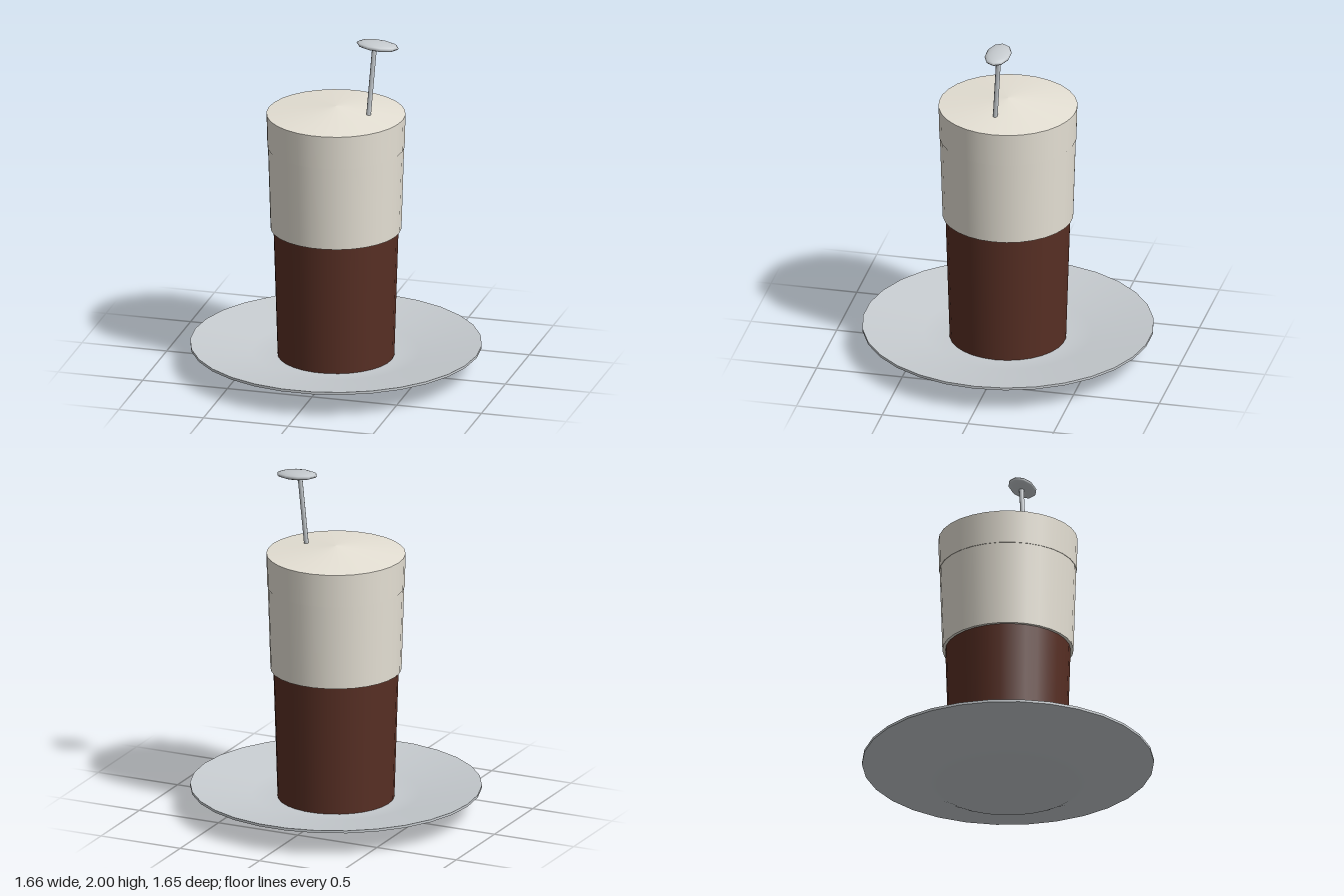
import * as THREE from 'three';

const SIDES = 30;

export function createModel() {
  const model = new THREE.Group();
  model.name = 'cupOnSaucer';

  const mat = (name, color) => {
    const m = new THREE.MeshStandardMaterial({ color });
    m.name = name;
    return m;
  };
  const cream = mat('cream', 0xe6e1d5);
  const brown = mat('coffeeBrown', 0x582f24);
  const silver = mat('silverGrey', 0xc6cbcf);

  const add = (parent, name, geometry, material) => {
    const mesh = new THREE.Mesh(geometry, material);
    mesh.name = name;
    parent.add(mesh);
    return mesh;
  };

  // Turned surface; points run so that the outside is on the right-hand side going up
  const turned = (points) => new THREE.LatheGeometry(
    points.map(([r, y]) => new THREE.Vector2(r, y)), SIDES).rotateY(Math.PI / 2);

  // Saucer, in separate strips so the rim edges stay sharp
  const saucer = new THREE.Group();
  saucer.name = 'saucer';
  model.add(saucer);
  add(saucer, 'saucerUnderside', turned([[0, 0], [0.41, 0.005], [0.48, 0.04], [0.83, 0.14]]), silver);
  add(saucer, 'saucerRim', turned([[0.83, 0.14], [0.83, 0.155]]), silver);
  add(saucer, 'saucerTop', turned([[0.83, 0.155], [0.48, 0.1], [0.36, 0.085], [0, 0.08]]), silver);

  // Cup body
  const cup = new THREE.Group();
  cup.name = 'cup';
  model.add(cup);
  add(cup, 'cupBody', turned([[0.332, 0.07], [0.357, 0.87]]), brown);

  // Pale upper sleeve with its lower ledge, rim band and domed top
  add(cup, 'sleeveLedge', turned([[0.35, 0.85], [0.373, 0.85]]), cream);
  add(cup, 'sleeve', turned([[0.373, 0.85], [0.388, 1.345]]), cream);
  add(cup, 'rimBandLedge', turned([[0.38, 1.345], [0.391, 1.345]]), cream);
  add(cup, 'rimBand', turned([[0.391, 1.345], [0.396, 1.54]]), cream);
  add(cup, 'foamTop', turned([[0.396, 1.54], [0, 1.585]]), cream);

  // Spoon: leaning handle and flattened oval end
  const spoon = new THREE.Group();
  spoon.name = 'spoon';
  model.add(spoon);
  const low = new THREE.Vector3(0.195, 1.48, 0.033);
  const high = new THREE.Vector3(0.228, 1.97, 0);
  const axis = high.clone().sub(low);
  const handle = add(spoon, 'spoonHandle',
    new THREE.CylinderGeometry(0.014, 0.014, axis.length(), 8), silver);
  handle.position.copy(low).add(high).multiplyScalar(0.5);
  handle.quaternion.setFromUnitVectors(new THREE.Vector3(0, 1, 0), axis.normalize());

  const bowl = add(spoon, 'spoonEnd', new THREE.SphereGeometry(1, 10, 8), silver);
  bowl.scale.set(0.125, 0.024, 0.074);
  bowl.position.set(0.246, 1.975, 0);
  bowl.rotation.z = -0.06;

  return model;
}
